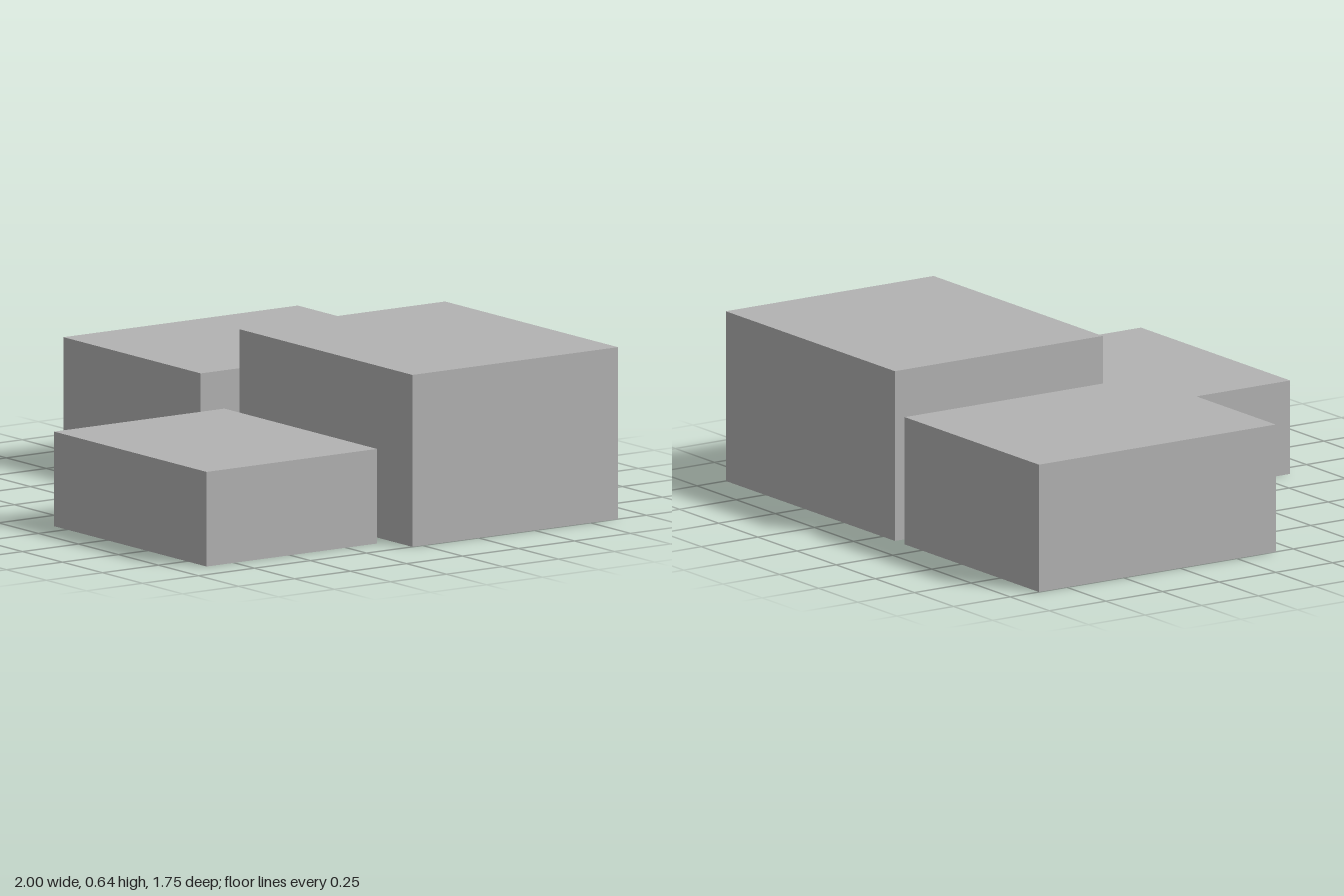
import * as THREE from 'three';

export function createModel() {
  const model = new THREE.Group();
  model.name = 'blocks';

  const plainGrey = new THREE.MeshStandardMaterial({ color: 0xb2b2b2 });
  plainGrey.name = 'plain grey';

  // Box standing on the ground, given by its x and z extents and height
  function addBlock(name, x0, x1, z0, z1, height) {
    const mesh = new THREE.Mesh(new THREE.BoxGeometry(x1 - x0, height, z1 - z0), plainGrey);
    mesh.name = name;
    mesh.position.set((x0 + x1) / 2, height / 2, (z0 + z1) / 2);
    model.add(mesh);
  }

  addBlock('longSideBlock', -1, -0.143, -0.873, 0.173, 0.477);
  addBlock('tallBackBlock', -0.08, 1, -0.873, 0.045, 0.636);
  addBlock('lowFrontBlock', -0.08, 0.873, 0.112, 0.873, 0.35);

  return model;
}
